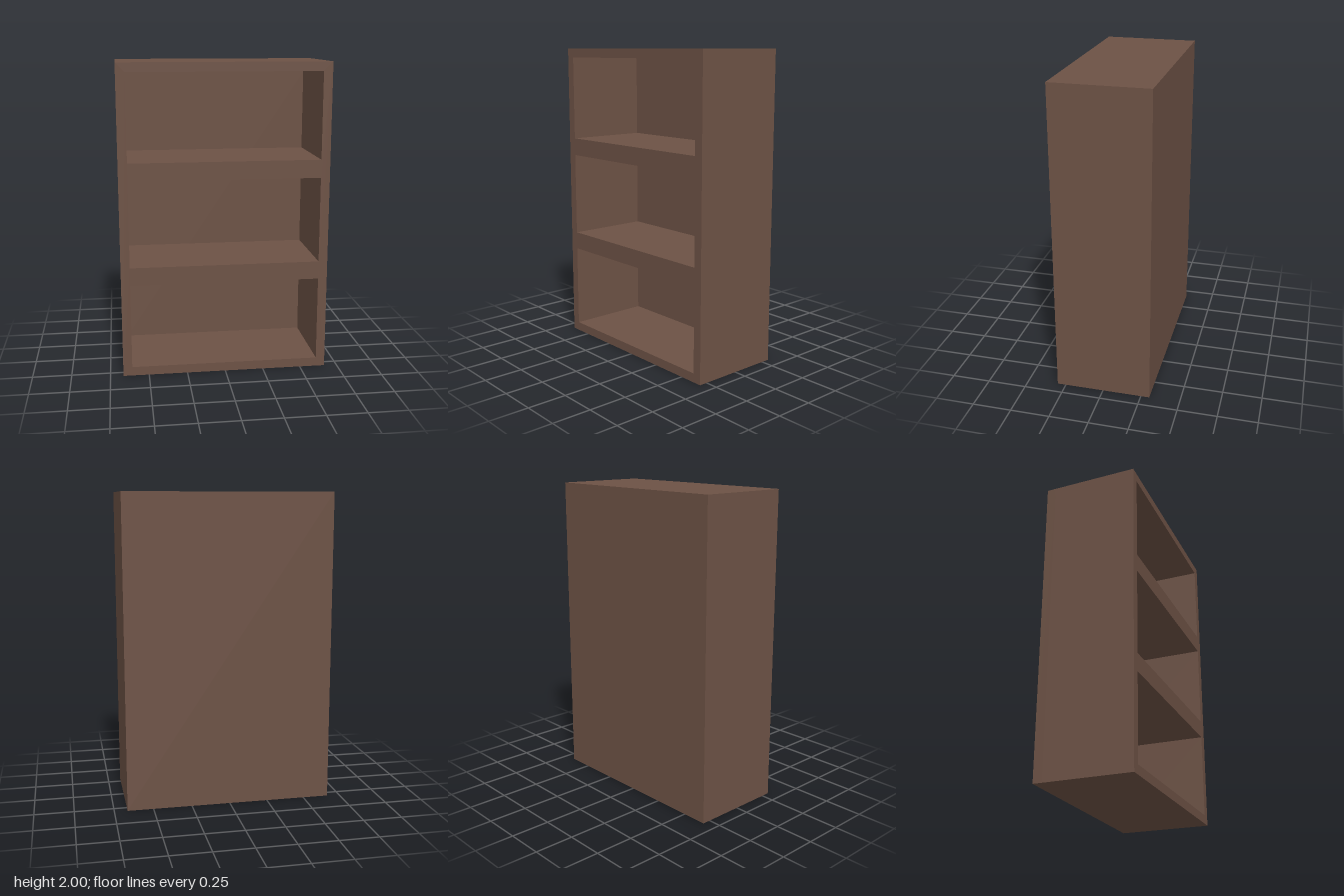
import * as THREE from 'three';

const W = 1.333, H = 2, D = 0.61, T = 0.058; // overall size and board thickness
const BAYS = 3;

function rectangle(target, x0, y0, x1, y1) {
  target.moveTo(x0, y0);
  target.lineTo(x1, y0);
  target.lineTo(x1, y1);
  target.lineTo(x0, y1);
  target.closePath();
  return target;
}

export function createModel() {
  const group = new THREE.Group();
  group.name = 'bookcase';

  const wood = new THREE.MeshStandardMaterial({ color: 0x6d5245 });
  wood.name = 'brown wood';

  // Outer case with one opening per bay; the doubled boards between form the shelves
  const outline = rectangle(new THREE.Shape(), -W / 2, 0, W / 2, H);
  const bay = H / BAYS;
  for (let i = 0; i < BAYS; i++) {
    outline.holes.push(
      rectangle(new THREE.Path(), -W / 2 + T, i * bay + T, W / 2 - T, (i + 1) * bay - T)
    );
  }
  const frameGeometry = new THREE.ExtrudeGeometry(outline, { depth: D - T, bevelEnabled: false });
  frameGeometry.translate(0, 0, -D / 2 + T);
  const frame = new THREE.Mesh(frameGeometry, wood);
  frame.name = 'frameAndShelves';
  group.add(frame);

  // Back panel closing all the bays
  const back = new THREE.Mesh(new THREE.BoxGeometry(W, H, T), wood);
  back.name = 'backPanel';
  back.position.set(0, H / 2, -D / 2 + T / 2);
  group.add(back);

  return group;
}
